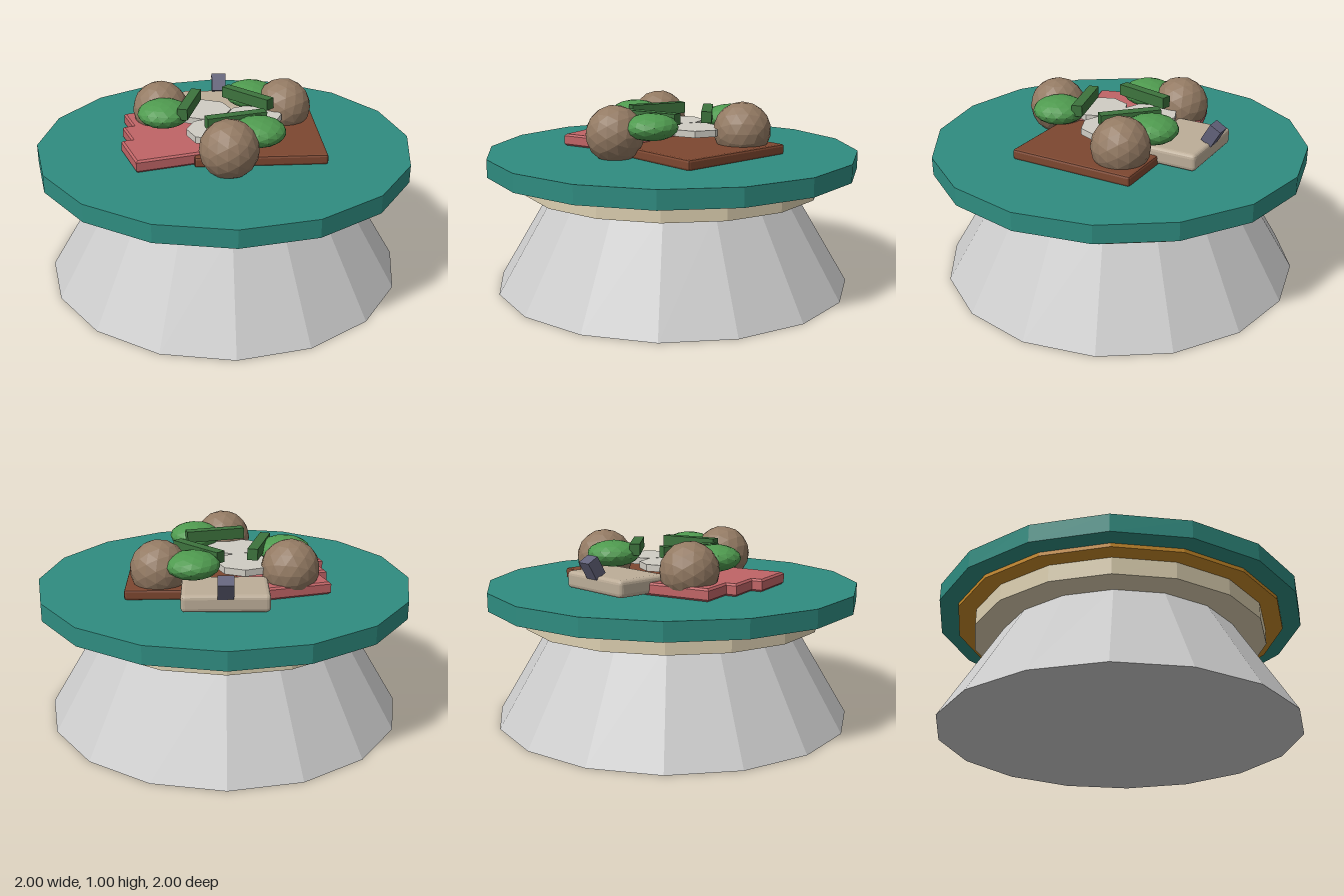
import * as THREE from 'three';
import { RoundedBoxGeometry } from 'three/addons/geometries/RoundedBoxGeometry.js';

export function createModel() {
  const model = new THREE.Group();

  function add(name, geometry, color, x, y, z, parent = model) {
    const material = new THREE.MeshStandardMaterial({ color, flatShading: true });
    const mesh = new THREE.Mesh(geometry, material);
    mesh.name = name;
    mesh.position.set(x, y, z);
    parent.add(mesh);
    return mesh;
  }

  // Sixteen-sided layers of the stand, from the floor up
  function layer(name, rTop, rBottom, y0, y1, color) {
    add(name, new THREE.CylinderGeometry(rTop, rBottom, y1 - y0, 16), color, 0, (y0 + y1) / 2, 0);
  }
  layer('pedestal', 0.65, 0.965, 0, 0.53, 0xcccccc);
  layer('creamCollar', 0.805, 0.805, 0.525, 0.617, 0xdccfb0);
  layer('goldRim', 0.9, 0.9, 0.615, 0.637, 0xc88a28);
  layer('tableTop', 1, 1, 0.635, 0.73, 0x2f8c80);

  // Flat slabs lying on the table
  add('brownSlab', new RoundedBoxGeometry(0.68, 0.055, 0.68, 1, 0.012), 0x7d4730, 0.17, 0.755, 0);

  // Pink slab with a stepped left edge, drawn as x and -z
  const outline = [
    [-0.46, -0.39], [-0.545, -0.12], [-0.49, -0.105], [-0.545, 0.07], [-0.49, 0.085],
    [-0.545, 0.265], [-0.11, 0.39], [0.0, -0.26],
  ];
  const slab = new THREE.ExtrudeGeometry(
    new THREE.Shape(outline.map(([x, y]) => new THREE.Vector2(x, y))),
    { depth: 0.045, bevelThickness: 0.01, bevelSize: 0.01, bevelOffset: -0.01, bevelSegments: 1 },
  );
  slab.rotateX(-Math.PI / 2);
  add('pinkSteppedSlab', slab, 0xc06466, 0, 0.74, 0);

  // Cream block with a small leaning tab at the back
  add('creamBlock', new RoundedBoxGeometry(0.44, 0.09, 0.305, 2, 0.022), 0xbcad98, 0, 0.78, -0.393);
  add('leaningTab', new THREE.BoxGeometry(0.08, 0.1, 0.066), 0x62627a, 0, 0.866, -0.545).rotation.x = -0.52;

  // Three overlapping octagonal discs in the middle
  for (const degrees of [100, 220, 340]) {
    const a = THREE.MathUtils.degToRad(degrees);
    add('paleDisc', new THREE.CylinderGeometry(0.15, 0.15, 0.035, 8), 0xd0cdc4,
      Math.sin(a) * 0.163, 0.8475, Math.cos(a) * 0.163);
  }

  // Three identical clusters of ball, leafy mound and bar around the centre
  for (let i = 0; i < 3; i++) {
    const cluster = new THREE.Group();
    cluster.name = 'cluster';
    cluster.rotation.y = THREE.MathUtils.degToRad(15 + 120 * i);
    model.add(cluster);
    add('brownBall', new THREE.IcosahedronGeometry(0.152, 2), 0x937a63, -0.1, 0.85, 0.377, cluster);
    add('greenMound', new THREE.IcosahedronGeometry(0.14, 2), 0x4f9a4f, 0.08, 0.895, 0.31, cluster)
      .scale.y = 0.5;
    add('greenBar', new THREE.BoxGeometry(0.32, 0.06, 0.055), 0x3d733d, 0, 0.925, 0.19, cluster);
  }
  return model;
}
